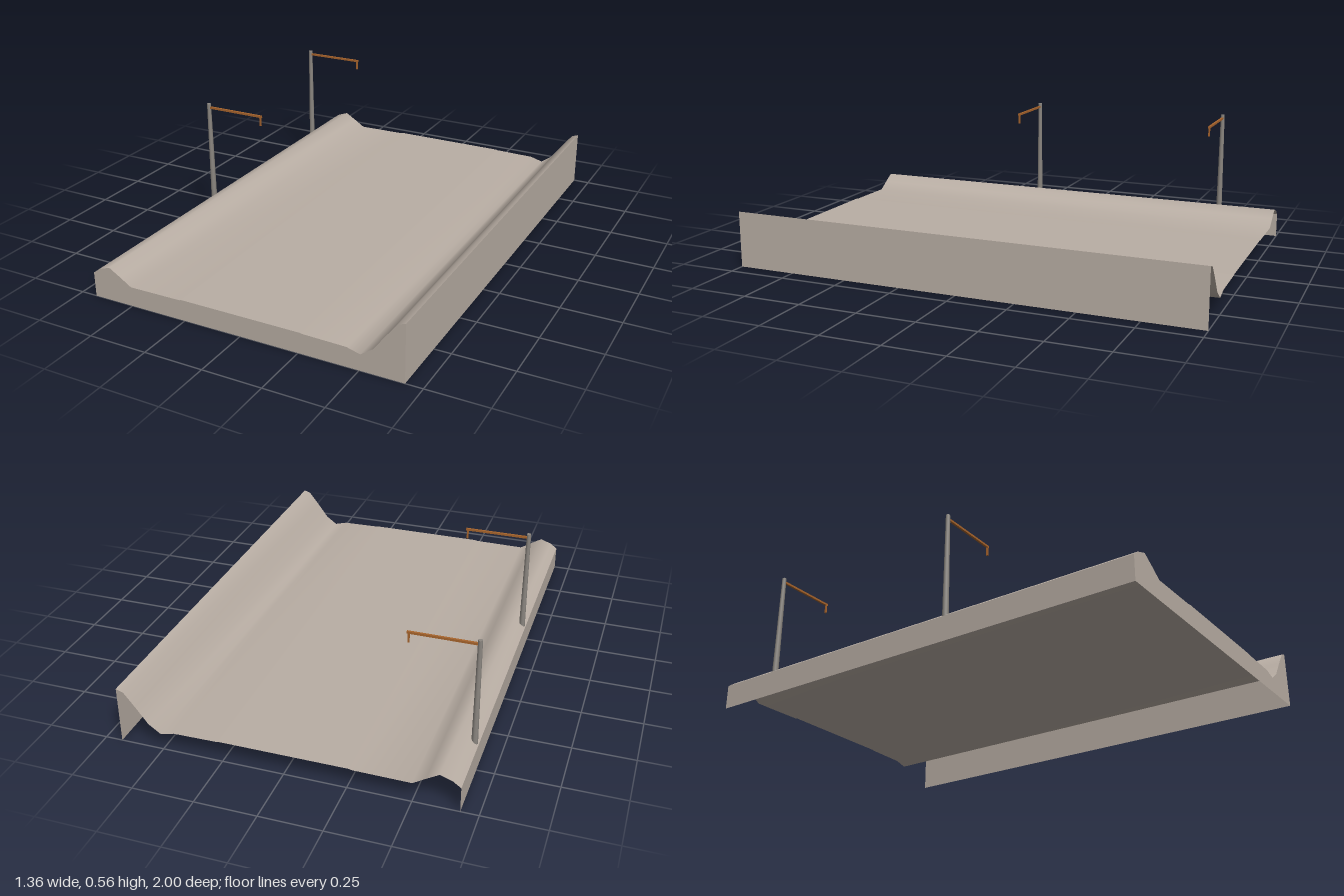
import * as THREE from 'three';

const HALF_X = 0.68, HALF_Z = 1;

// Ground cross-section [x, y], from low bank to high bank
const PROFILE = [
  [-0.68, 0.105], [-0.65, 0.127], [-0.6, 0.145], [-0.55, 0.115], [-0.5, 0.083],
  [-0.27, 0.085], [-0.26, 0.088], [0.26, 0.088], [0.27, 0.086], [0.45, 0.083],
  [0.505, 0.068], [0.555, 0.104], [0.605, 0.172], [0.65, 0.229], [0.68, 0.24],
];

function named(name, geometry, material, x = 0, y = 0, z = 0) {
  const mesh = new THREE.Mesh(geometry, material);
  mesh.name = name;
  mesh.position.set(x, y, z);
  return mesh;
}

// Smooth ground sheet swept along z
function groundGeometry() {
  const positions = [], index = [];
  PROFILE.forEach(([x, y], i) => {
    positions.push(x, y, HALF_Z, x, y, -HALF_Z);
    if (i > 0) {
      const a = 2 * (i - 1), b = 2 * i;
      index.push(a, b, b + 1, a, b + 1, a + 1);
    }
  });
  const geometry = new THREE.BufferGeometry();
  geometry.setAttribute('position', new THREE.Float32BufferAttribute(positions, 3));
  geometry.setIndex(index);
  geometry.computeVertexNormals();
  return geometry;
}

export function createModel() {
  const soil = new THREE.MeshStandardMaterial({ color: 0xb9aea4, side: THREE.DoubleSide });
  soil.name = 'soil';
  const postGrey = new THREE.MeshStandardMaterial({ color: 0x8c8781 });
  postGrey.name = 'post grey';
  const rust = new THREE.MeshStandardMaterial({ color: 0xa8642c });
  rust.name = 'rust brown';

  const model = new THREE.Group();
  model.name = 'trackBed';

  // Open-bottomed, open-backed ground
  const ground = new THREE.Group();
  ground.name = 'ground';
  ground.add(named('groundSurface', groundGeometry(), soil));

  const section = new THREE.Shape([
    new THREE.Vector2(-HALF_X, 0), new THREE.Vector2(HALF_X, 0),
    ...PROFILE.map(([x, y]) => new THREE.Vector2(x, y)).reverse(),
  ]);
  ground.add(named('frontWall', new THREE.ShapeGeometry(section), soil, 0, 0, HALF_Z));

  for (const side of [-1, 1]) {
    const height = side < 0 ? PROFILE[0][1] : PROFILE[PROFILE.length - 1][1];
    const wall = named(side < 0 ? 'rightWall' : 'leftWall',
      new THREE.PlaneGeometry(2 * HALF_Z, height), soil, side * HALF_X, height / 2, 0);
    wall.rotation.y = side * Math.PI / 2;
    ground.add(wall);
  }
  model.add(ground);

  // Tapered posts with a side arm and a short hanger
  for (const z of [0.18, -0.73]) {
    const mast = new THREE.Group();
    mast.name = 'mast';
    mast.position.set(-0.664, 0, z);
    mast.add(
      named('post', new THREE.CylinderGeometry(0.009, 0.013, 0.458, 8), postGrey, 0, 0.329, 0),
      named('arm', new THREE.BoxGeometry(0.27, 0.009, 0.009), rust, 0.137, 0.541, 0),
      named('hanger', new THREE.BoxGeometry(0.007, 0.042, 0.007), rust, 0.265, 0.52, 0),
    );
    model.add(mast);
  }
  return model;
}
